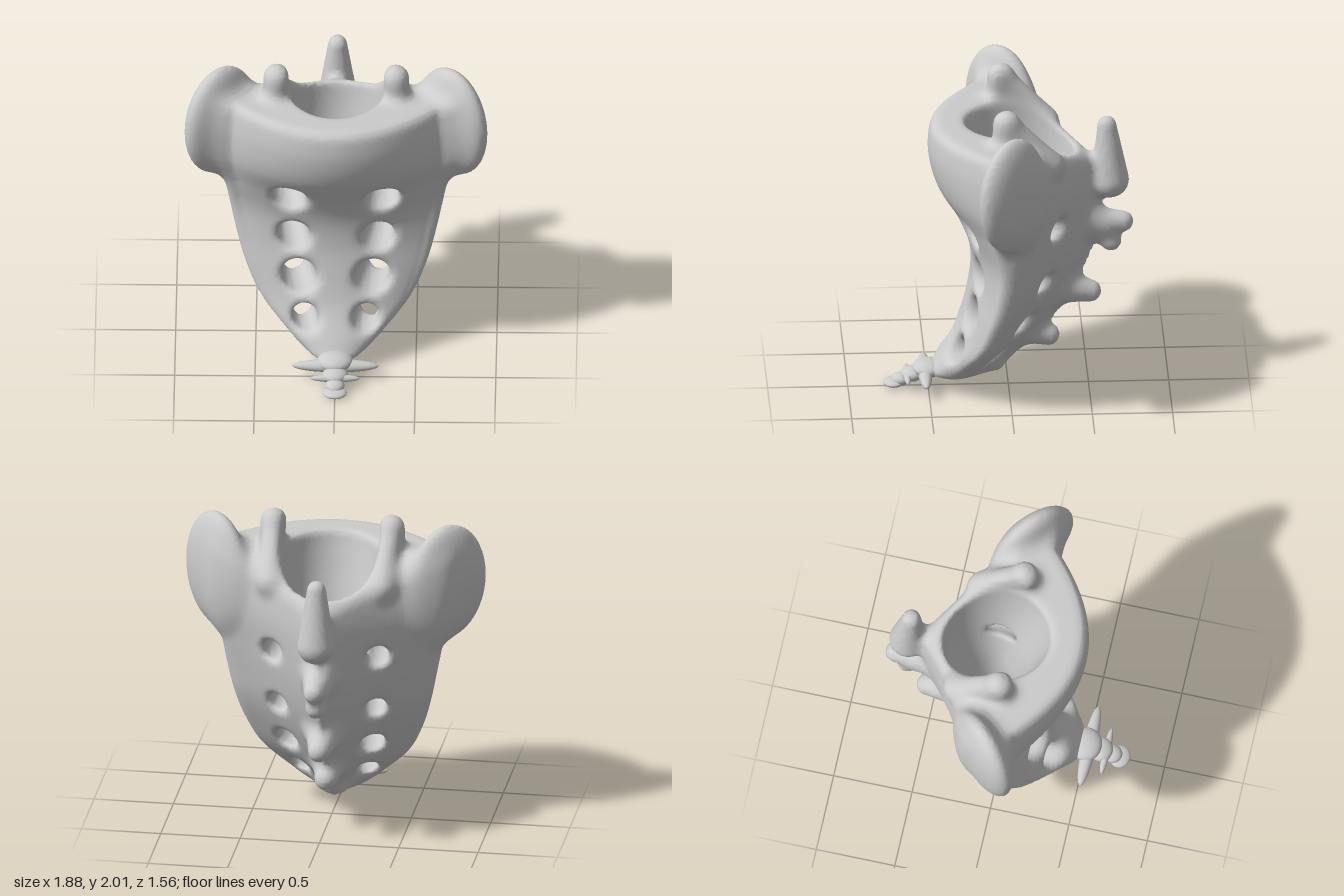
import * as THREE from 'three';

const clamp = THREE.MathUtils.clamp;
const v3 = (x, y, z) => new THREE.Vector3(x, y, z);

// Horizontal section measures, one value every 0.2 in height from y = 0
const STEP = 0.2;
const PROFILE = {
  front: [0.56, 0.45, 0.33, 0.27, 0.235, 0.25, 0.33, 0.45, 0.5, 0.485, 0.45],
  halfWidth: [0.08, 0.29, 0.48, 0.575, 0.63, 0.67, 0.7, 0.74, 0.74, 0.72, 0.7],
  sideFront: [0.48, 0.36, 0.23, 0.16, 0.11, 0.09, 0.13, 0.18, 0.19, 0.17, 0.15],
  sideBack: [0.3, 0.2, 0.1, 0.02, -0.05, -0.08, -0.11, -0.13, -0.12, -0.08, -0.05],
  back: [0.12, -0.04, -0.24, -0.38, -0.48, -0.55, -0.58, -0.58, -0.55, -0.5, -0.5],
  canalWidth: [0, 0, 0.07, 0.11, 0.15, 0.19, 0.23, 0.26, 0.285, 0.3, 0.3],
  canalFront: [0.3, 0.25, 0.14, 0.07, 0.04, 0.06, 0.1, 0.16, 0.22, 0.27, 0.28],
  canalBack: [0.2, 0.15, 0.02, -0.1, -0.2, -0.27, -0.33, -0.38, -0.41, -0.43, -0.43],
};

// Smooth interpolation of all measures at one height
function sectionAt(y) {
  const s = {};
  const f = clamp(y / STEP, 0, 9.999), i = Math.floor(f), t = f - i;
  for (const [key, a] of Object.entries(PROFILE)) {
    const p0 = a[Math.max(i - 1, 0)], p1 = a[i], p2 = a[i + 1], p3 = a[Math.min(i + 2, 10)];
    s[key] = p1 + 0.5 * t * (p2 - p0 + t * (2 * p0 - 5 * p1 + 4 * p2 - p3 + t * (3 * (p1 - p2) + p3 - p0)));
  }
  return s;
}

// Smooth union, smooth intersection
function join(a, b, k) {
  const h = Math.max(k - Math.abs(a - b), 0) / k;
  return Math.min(a, b) - h * h * k * 0.25;
}
const meet = (a, b, k) => -join(-a, -b, k);

// Tapered rounded rod from a (radius ra) to b (radius rb)
function rod(a, b, ra, rb) {
  const d = b.clone().sub(a), len2 = d.lengthSq();
  return (x, y, z) => {
    const px = x - a.x, py = y - a.y, pz = z - a.z;
    const t = clamp((px * d.x + py * d.y + pz * d.z) / len2, 0, 1);
    return Math.hypot(px - d.x * t, py - d.y * t, pz - d.z * t) - (ra + (rb - ra) * t);
  };
}

// Side wing: a flat ellipsoid turned about the vertical axis
function wing(x, y, z) {
  const dx = x - 0.725, dz = z - 0.01, c = 0.72, s = 0.69;
  const u = dx * c + dz * s, n = dx * s - dz * c, h = y - 1.6;
  const k0 = Math.hypot(u / 0.28, h / 0.375, n / 0.115);
  const k1 = Math.hypot(u / 0.0784, h / 0.1406, n / 0.0132);
  return k1 < 1e-6 ? -0.11 : (k0 * (k0 - 1)) / k1;
}

// Processes and crest tubercles (x is mirrored)
const GROWTHS = [
  rod(v3(0.37, 1.93, 0.035), v3(0.385, 1.72, 0.05), 0.068, 0.085),
  rod(v3(0.37, 1.93, 0.02), v3(0.35, 1.64, -0.25), 0.065, 0.075),
  rod(v3(0, 1.745, -0.615), v3(0, 1.38, -0.635), 0.06, 0.118),
  rod(v3(0, 1.1, -0.48), v3(0, 1.09, -0.715), 0.1, 0.065),
  rod(v3(0, 1.13, -0.52), v3(0, 0.96, -0.64), 0.06, 0.065),
  rod(v3(0, 0.66, -0.34), v3(0, 0.62, -0.51), 0.11, 0.07),
  rod(v3(0, 0.38, -0.1), v3(0, 0.33, -0.25), 0.1, 0.07),
  rod(v3(0.07, 0.2, 0.12), v3(0.05, 0.15, 0.07), 0.05, 0.03),
];

// Nerve openings, each running from the front face to the back face
const OPENINGS = [
  rod(v3(0.28, 1.17, 0.4), v3(0.34, 1.2, -0.5), 0.115, 0.05),
  rod(v3(0.25, 0.86, 0.3), v3(0.32, 0.8, -0.4), 0.11, 0.045),
  rod(v3(0.22, 0.59, 0.32), v3(0.28, 0.5, -0.28), 0.12, 0.05),
  rod(v3(0.18, 0.34, 0.42), v3(0.22, 0.27, -0.1), 0.09, 0.045),
];

// Signed field of the fused bone: negative inside
function boneField(xSigned, y, z, s) {
  const x = Math.abs(xSigned), t = Math.min(x / s.halfWidth, 1);
  const bulge = 1 - Math.min(t / 0.88, 1) ** 2;
  const front = s.sideFront + (s.front - s.sideFront) * bulge;
  const back = s.sideBack + (s.back - s.sideBack) * Math.pow(1 - t, 1.3);
  let d = meet(z - front, (back - z) * 0.8, 0.08);
  d = meet(d, x - s.halfWidth, 0.1);
  const top = 1.8 - 0.52 * Math.max(0, -z - 0.05);
  d = meet(d, y - top, 0.07);
  d = meet(d, 0.09 - y, 0.04);
  d = join(d, wing(x, y, z), 0.1);
  for (const g of GROWTHS) d = join(d, g(x, y, z), 0.07);
  // Central canal
  if (s.canalWidth > 0.03) {
    const depth = (s.canalFront - s.canalBack) / 2, mid = (s.canalFront + s.canalBack) / 2;
    const c = (Math.hypot(x / s.canalWidth, (z - mid) / depth) - 1) * Math.min(s.canalWidth, depth);
    d = meet(d, -c, 0.04);
  }
  for (const o of OPENINGS) d = meet(d, -o(x, y, z), 0.05);
  return d;
}

// Skin a field: one vertex per crossed cell, one quad per crossed grid edge
function skin(min, n, h) {
  const stride = [1, n[0], n[0] * n[1]];
  const val = new Float32Array(n[0] * n[1] * n[2]);
  const at = (i, j, k) => i + j * stride[1] + k * stride[2];
  for (let j = 0; j < n[1]; j++) {
    const y = min.y + j * h, s = sectionAt(y);
    for (let k = 0; k < n[2]; k++)
      for (let i = 0; i < n[0]; i++)
        val[at(i, j, k)] = boneField(min.x + i * h, y, min.z + k * h, s);
  }
  const pos = [], index = [], cell = new Int32Array(val.length).fill(-1);
  for (let k = 0; k < n[2] - 1; k++) for (let j = 0; j < n[1] - 1; j++) for (let i = 0; i < n[0] - 1; i++) {
    const sum = [0, 0, 0];
    let count = 0;
    for (let c = 0; c < 8; c++) for (let a = 0; a < 3; a++) {
      if (c & (1 << a)) continue;
      const o = [c & 1, (c >> 1) & 1, c >> 2];
      const p = at(i + o[0], j + o[1], k + o[2]), v0 = val[p], v1 = val[p + stride[a]];
      if (v0 < 0 === v1 < 0) continue;
      o[a] = v0 / (v0 - v1);
      for (let m = 0; m < 3; m++) sum[m] += o[m];
      count++;
    }
    if (!count) continue;
    cell[at(i, j, k)] = pos.length / 3;
    pos.push(min.x + (i + sum[0] / count) * h, min.y + (j + sum[1] / count) * h, min.z + (k + sum[2] / count) * h);
  }
  for (let k = 1; k < n[2] - 1; k++) for (let j = 1; j < n[1] - 1; j++) for (let i = 1; i < n[0] - 1; i++) {
    const p = at(i, j, k);
    for (let a = 0; a < 3; a++) {
      const inside = val[p] < 0;
      if (inside === val[p + stride[a]] < 0) continue;
      const b = stride[(a + 1) % 3], c = stride[(a + 2) % 3];
      const q = [cell[p - b - c], cell[p - c], cell[p], cell[p - b]];
      if (!inside) q.reverse();
      index.push(q[0], q[1], q[2], q[0], q[2], q[3]);
    }
  }
  const geo = new THREE.BufferGeometry();
  geo.setAttribute('position', new THREE.Float32BufferAttribute(pos, 3));
  geo.setIndex(index);
  geo.computeVertexNormals();
  return geo;
}

export function createModel() {
  const model = new THREE.Group();
  const material = new THREE.MeshStandardMaterial({ color: 0xcccccc });

  // Fused bone with wings, processes, canal and openings
  const sacrum = new THREE.Mesh(skin(v3(-1, 0.03, -0.86), [101, 102, 74], 0.02), material);
  sacrum.name = 'sacrum';
  model.add(sacrum);

  // Tail bones: flattened segments shrinking toward the tip
  const tail = new THREE.Group();
  tail.name = 'coccyx';
  const ball = new THREE.SphereGeometry(1, 32, 20);
  const segment = (name, center, size) => {
    const mesh = new THREE.Mesh(ball, material);
    mesh.name = name;
    mesh.position.set(...center);
    mesh.scale.set(...size);
    tail.add(mesh);
  };
  segment('firstSegment', [0, 0.12, 0.5], [0.11, 0.055, 0.1]);
  segment('firstTransverseProcess', [0, 0.095, 0.52], [0.27, 0.04, 0.045]);
  segment('secondSegment', [0, 0.08, 0.6], [0.08, 0.045, 0.07]);
  segment('secondTransverseProcess', [0, 0.075, 0.63], [0.155, 0.025, 0.025]);
  segment('thirdSegment', [0, 0.045, 0.67], [0.06, 0.04, 0.06]);
  segment('tip', [0, 0.025, 0.715], [0.075, 0.025, 0.065]);
  model.add(tail);
  return model;
}
